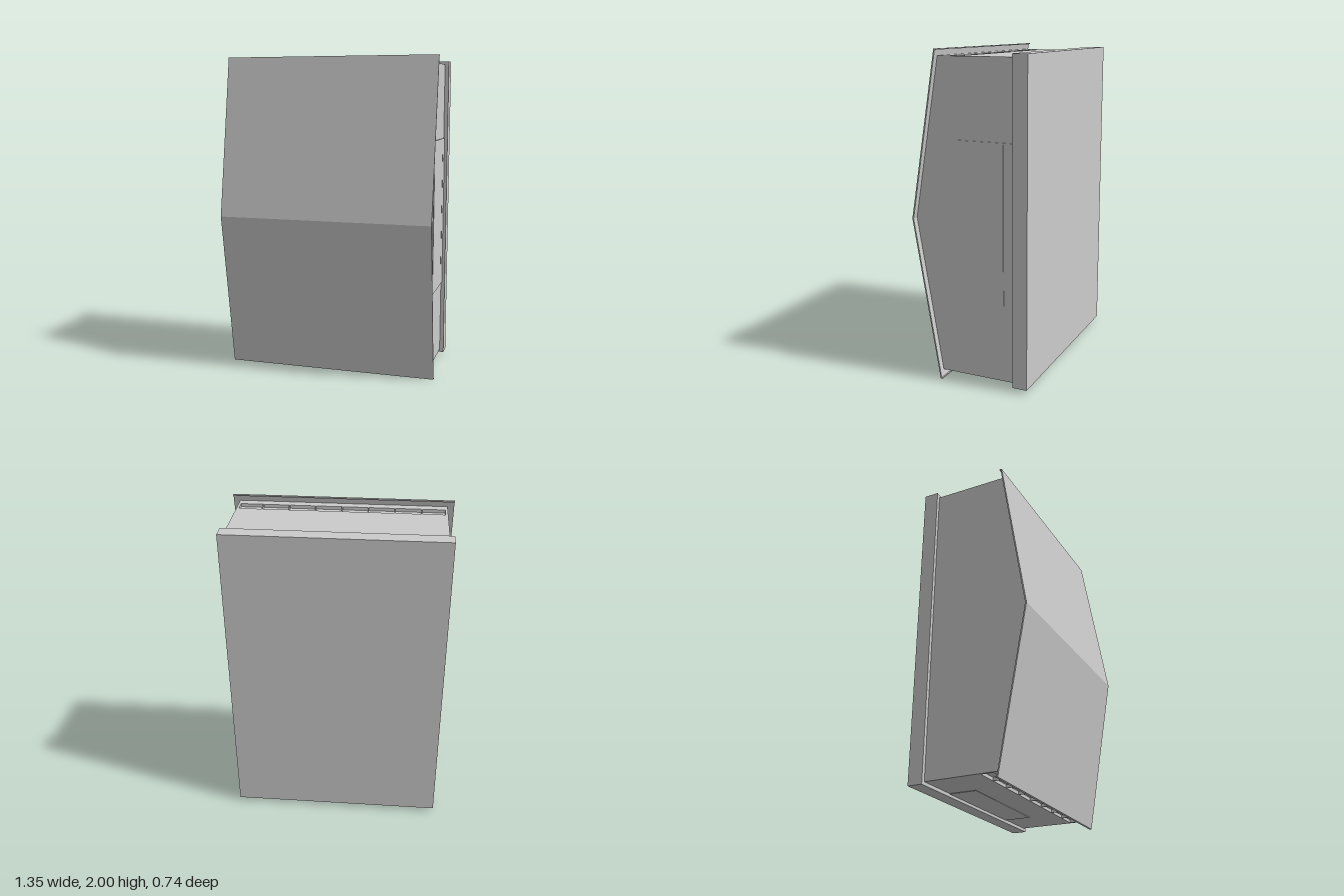
import * as THREE from 'three';

const mat = new THREE.MeshStandardMaterial({ color: 0xcccccc, flatShading: true });

export function createModel() {
  const group = new THREE.Group();

  const add = (name, geometry) => {
    const mesh = new THREE.Mesh(geometry, mat);
    mesh.name = name;
    group.add(mesh);
    return mesh;
  };

  // Box given by its minimum and maximum corners
  const box = (name, [x0, y0, z0], [x1, y1, z1]) =>
    add(name, new THREE.BoxGeometry(x1 - x0, y1 - y0, z1 - z0))
      .position.set((x0 + x1) / 2, (y0 + y1) / 2, (z0 + z1) / 2);

  // Side profile of [z, y] points, extruded across the width
  const profile = (name, points, width) => {
    const shape = new THREE.Shape(points.map(([z, y]) => new THREE.Vector2(z, y)));
    const geometry = new THREE.ExtrudeGeometry(shape, { depth: width, bevelEnabled: false });
    geometry.translate(0, 0, -width / 2).rotateY(-Math.PI / 2);
    add(name, geometry);
  };

  const bottom = 0.045, top = 1.96, depth = 0.02;
  const slotBack = 0.07, slotFront = 0.145;

  // Housing with a vent channel along the top and the bottom
  profile('housing', [
    [-0.28, bottom], [slotBack, bottom], [slotBack, bottom + depth],
    [slotFront, bottom + depth], [slotFront, bottom], [0.2, bottom],
    [0.362, 1], [0.2, top],
    [slotFront, top], [slotFront, top - depth],
    [slotBack, top - depth], [slotBack, top], [-0.28, top],
  ], 1.27);

  // Ribs and end caps divide each channel into eight slots
  for (const [y0, y1] of [[bottom, bottom + depth], [top - depth, top]]) {
    for (let i = -3; i <= 3; i++) {
      box('ventRib', [i * 0.16 - 0.003, y0, slotBack], [i * 0.16 + 0.003, y1, slotFront]);
    }
    for (const s of [-1, 1]) {
      box('ventEnd', [s * 0.6275 - 0.0075, y0, slotBack], [s * 0.6275 + 0.0075, y1, slotFront]);
    }
  }

  // Bent front cover with small folded lips
  profile('frontCover', [
    [0.2, 0], [0.37, 1], [0.2, 2], [0.185, 2], [0.185, 1.993], [0.193, 1.993],
    [0.361, 1], [0.193, 0.007], [0.185, 0.007], [0.185, 0],
  ], 1.35);

  // Back panel
  box('backPanel', [-0.66, 0.025, -0.37], [0.66, 1.98, -0.278]);

  // Side door: two leaves with a narrow seam, joined by thin end rails
  box('doorLeaf', [0.63, 0.525, -0.212], [0.641, 1.475, 0.095]);
  box('doorHingeStrip', [0.63, 0.525, -0.28], [0.641, 1.475, -0.218]);
  for (const y of [0.515, 1.475]) {
    box('doorRail', [0.63, y, -0.28], [0.641, y + 0.01, 0.095]);
  }

  // Thin cable entry plate underneath
  box('cablePlate', [-0.36, 0.042, -0.28], [0.36, 0.05, -0.105]);

  return group;
}
